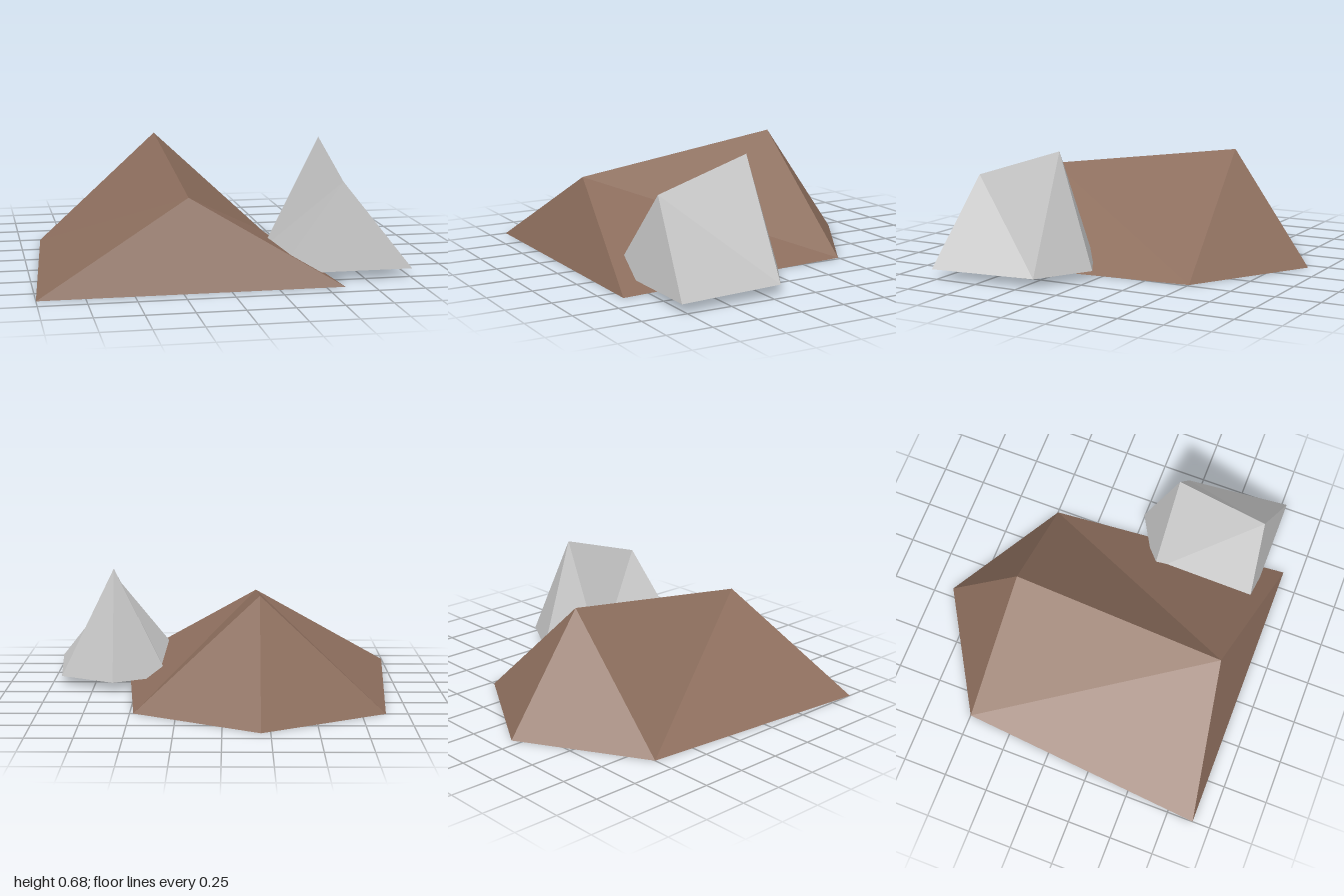
import * as THREE from 'three';

// Corner order: front left, front right, back right, back tip, back left, front ridge, back ridge
const FACES = [
  0, 1, 5, // front
  1, 2, 5, 2, 6, 5, // +x side
  2, 3, 6, 3, 4, 6, // back
  4, 0, 5, 4, 5, 6, // -x side
  0, 4, 3, 0, 3, 2, 0, 2, 1, // underside
];

// Faceted rock with a five-sided base and a sloping ridge, mirrored about x = cx
function makeRock(name, material, { cx, base, front, back, tipZ, ridgeFront, ridgeBack }) {
  const corners = [
    cx - front[0], base, front[1],
    cx + front[0], base, front[1],
    cx + back[0], base, back[1],
    cx, base, tipZ,
    cx - back[0], base, back[1],
    cx, ...ridgeFront,
    cx, ...ridgeBack,
  ];
  const indexed = new THREE.BufferGeometry();
  indexed.setAttribute('position', new THREE.Float32BufferAttribute(corners, 3));
  indexed.setIndex(FACES);
  const geometry = indexed.toNonIndexed();
  geometry.computeVertexNormals();
  const mesh = new THREE.Mesh(geometry, material);
  mesh.name = name;
  return mesh;
}

export function createModel() {
  const brown = new THREE.MeshStandardMaterial({ color: 0x8d6e5d });
  brown.name = 'brown rock';
  const grey = new THREE.MeshStandardMaterial({ color: 0xc6c6c6 });
  grey.name = 'grey rock';

  const group = new THREE.Group();
  group.name = 'rocks';
  group.add(
    makeRock('largeRock', brown, {
      cx: -0.2, base: 0, front: [0.8, 0.9], back: [0.68, -0.5], tipZ: -0.9,
      ridgeFront: [0.47, 0.75], ridgeBack: [0.635, -0.45],
    }),
    makeRock('smallRock', grey, {
      cx: 0.632, base: 0.052, front: [0.368, 0.78], back: [0.31, 0.175], tipZ: 0,
      ridgeFront: [0.52, 0.715], ridgeBack: [0.683, 0.197],
    }),
  );
  return group;
}
